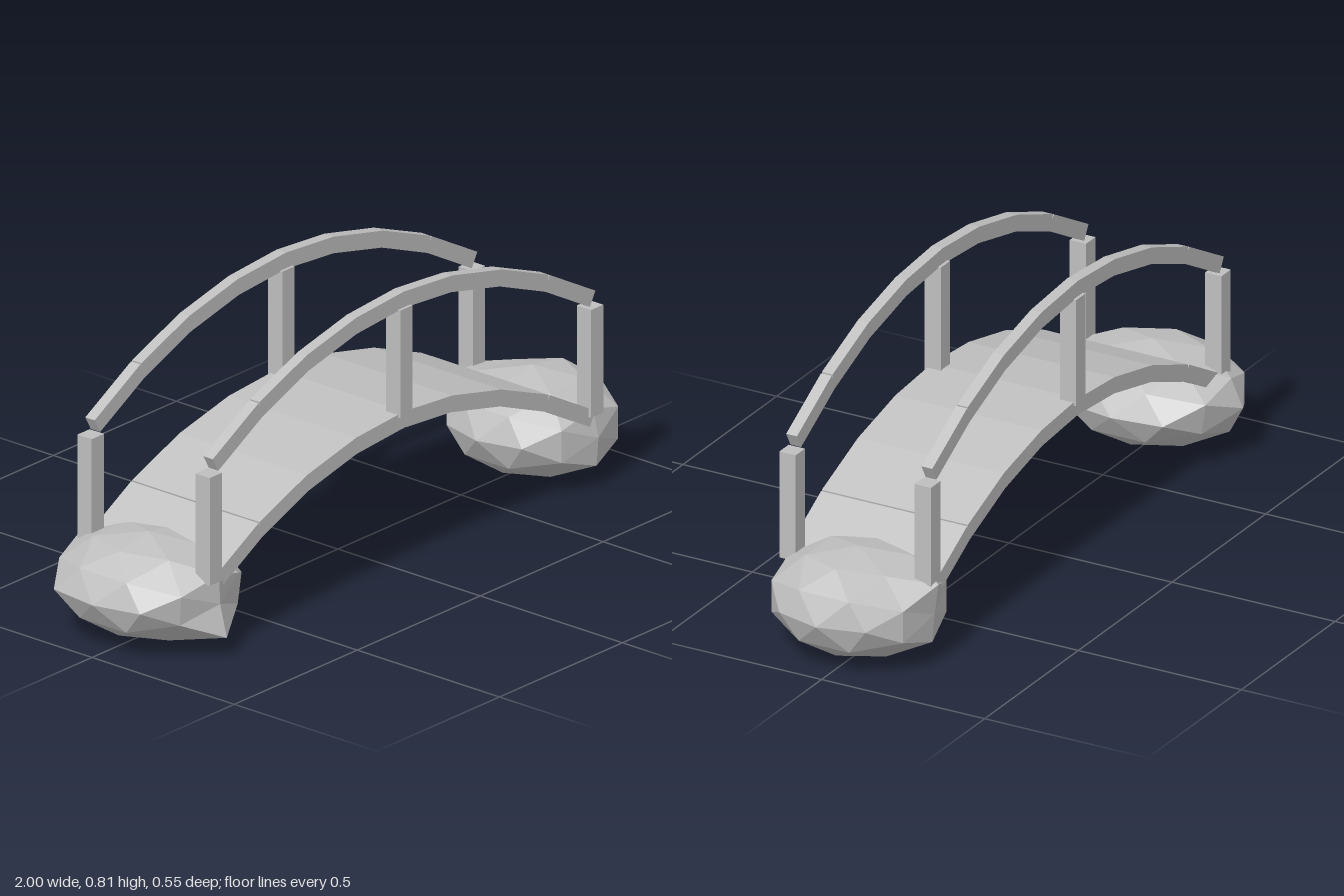
import * as THREE from 'three';

const grey = new THREE.MeshStandardMaterial({ color: 0xbfbfbf, flatShading: true });
grey.name = 'plain grey';

const CX = -0.012;              // middle of the span
const RAIL_DROP = 0.345;        // deck lies this far below the handrails
const ARCH = [[0, 0.81], [0.195, 0.795], [0.395, 0.75], [0.588, 0.675]]; // top edge, one half
const END = [[0.592, 0.673], [0.778, 0.57]];                            // top edge of end plank

// Prism from an x/y outline between two z values
function prism(name, points, z0, z1) {
  const shape = new THREE.Shape(points.map(([x, y]) => new THREE.Vector2(x, y)));
  const geo = new THREE.ExtrudeGeometry(shape, { depth: z1 - z0, bevelEnabled: false });
  geo.translate(0, 0, z0);
  const mesh = new THREE.Mesh(geo, grey);
  mesh.name = name;
  return mesh;
}

// Arched band: a curved middle and one straight plank at each end
function archedBand(name, z0, z1, drop) {
  const group = new THREE.Group();
  group.name = name;
  const mirrored = ARCH.slice(1).reverse().map(([x, y]) => [-x, y]);
  const top = [...mirrored, ...ARCH];
  const bottom = top.map(([x, y]) => [x * 0.985, y - 0.047]).reverse();
  group.add(prism(name + 'Middle', [...top, ...bottom], z0, z1));

  const [[ax, ay], [bx, by]] = END;
  const len = Math.hypot(bx - ax, by - ay);
  const nx = (ay - by) / len * 0.046, ny = (bx - ax) / len * 0.046;
  for (const s of [-1, 1]) {
    const outline = [[ax, ay], [bx, by], [bx - nx, by - ny], [ax - nx, ay - ny]];
    group.add(prism(name + 'End', outline.map(([x, y]) => [s * x, y]), z0, z1));
  }
  group.position.set(CX, -drop, 0);
  return group;
}

// Faceted boulder; pushes move single vertices in or out from the centre
function boulder(name, centre, size, pushes) {
  const geo = new THREE.IcosahedronGeometry(1, 1);
  const pos = geo.attributes.position;
  const v = new THREE.Vector3();
  for (let i = 0; i < pos.count; i++) {
    v.fromBufferAttribute(pos, i);
    let k = 1;
    for (const [x, y, z, f] of pushes) {
      if (Math.hypot(v.x - x, v.y - y, v.z - z) < 0.1) k = f;
    }
    v.multiplyScalar(k);
    pos.setXYZ(i, v.x * size[0], v.y * size[1], v.z * size[2]);
  }
  geo.computeVertexNormals();
  const mesh = new THREE.Mesh(geo, grey);
  mesh.name = name;
  mesh.position.set(...centre);
  return mesh;
}

export function createModel() {
  const bridge = new THREE.Group();
  bridge.name = 'footbridge';

  // Walkway
  bridge.add(archedBand('deck', -0.205, 0.243, RAIL_DROP));

  // Handrails and their posts
  for (const z of [0.2265, -0.1885]) {
    bridge.add(archedBand('handrail', z - 0.0165, z + 0.0165, 0));
    for (const [x, y0, y1] of [[-0.775, 0.215, 0.525], [0, 0.455, 0.765], [0.775, 0.215, 0.525]]) {
      const post = new THREE.Mesh(new THREE.BoxGeometry(0.05, y1 - y0, 0.05), grey);
      post.name = 'post';
      post.position.set(CX + x, (y0 + y1) / 2, z);
      bridge.add(post);
    }
  }

  // Boulders under both ends
  bridge.add(boulder('leftBoulder', [0.77, 0.148, 0.018], [0.23, 0.148, 0.25], [
    [0, 0.526, -0.851, 1.15], [0, -0.526, -0.851, 1.06], [0, 0, -1, 0.93],
    [0, -0.526, 0.851, 1.06], [0, 0, 1, 0.93], [0.309, 0.809, -0.5, 0.93],
    [0.526, 0.851, 0, 1.02], [0.809, 0.5, -0.309, 1.05],
  ]));
  bridge.add(boulder('rightBoulder', [-0.77, 0.15, 0], [0.23, 0.142, 0.265], [
    [0, -0.526, 0.851, 1.22], [0, 0.526, 0.851, 1.1], [0, 0, 1, 0.95],
    [0, 0, -1, 1.04], [0, 0.526, -0.851, 1.06], [0, -0.526, -0.851, 1.04],
    [0.851, 0, 0.526, 1.06], [0.851, 0, -0.526, 1.08], [-0.851, 0, -0.526, 1.08],
    [0.5, 0.309, -0.809, 1.08], [-0.5, -0.309, 0.809, 0.95],
  ]));

  return bridge;
}
